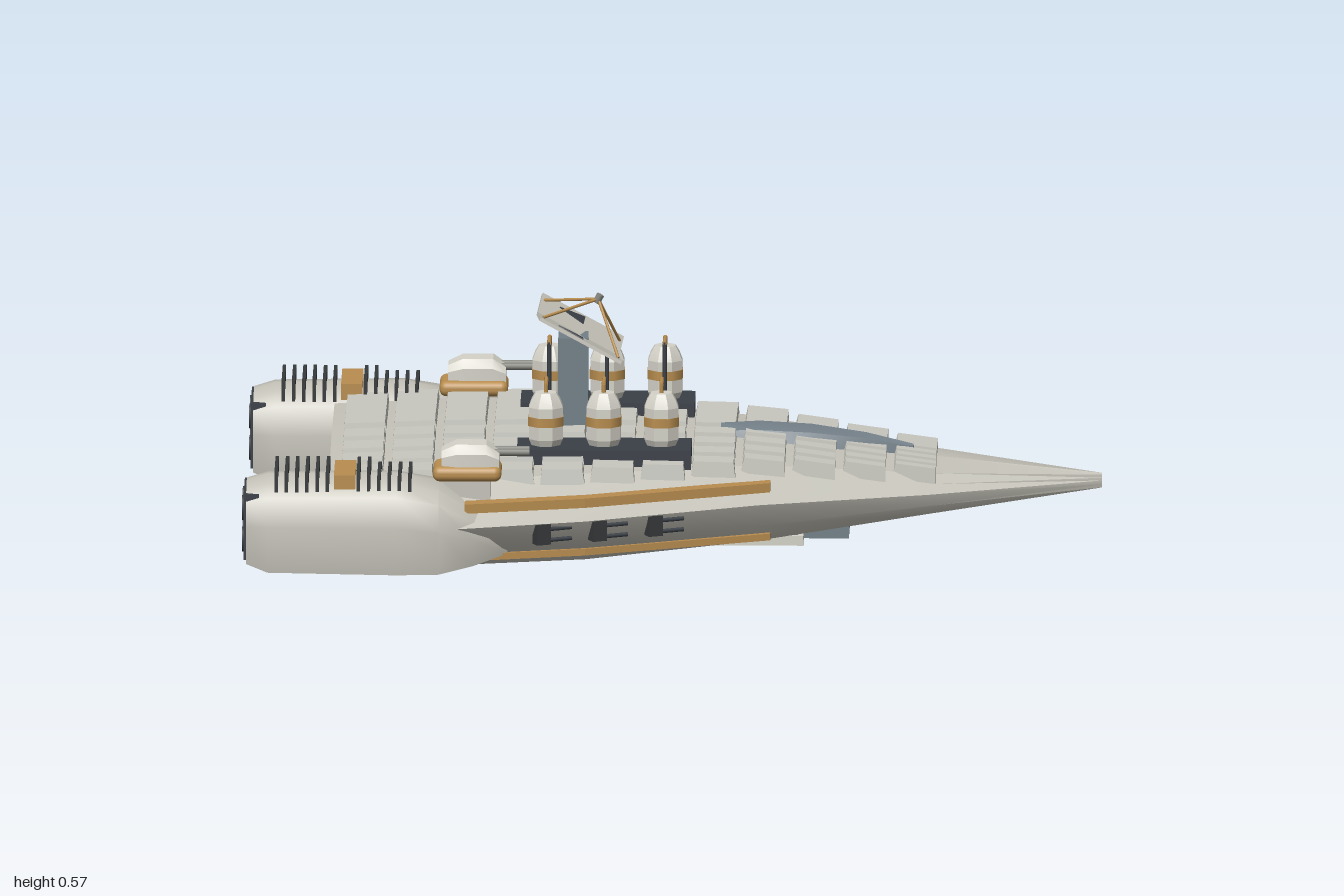
import * as THREE from 'three';
import { toCreasedNormals } from 'three/addons/utils/BufferGeometryUtils.js';
import { RoundedBoxGeometry } from 'three/addons/geometries/RoundedBoxGeometry.js';

const mat = (name, color, extra = {}) => {
  const m = new THREE.MeshStandardMaterial({ color, ...extra });
  m.name = name;
  return m;
};

// Hull stations: x, half width, bottom y, top y
const STATIONS = [
  [-0.8, 0.6, 0.03, 0.235], [-0.54, 0.655, 0.02, 0.245], [-0.2, 0.56, 0.02, 0.25],
  [0.2, 0.375, 0.035, 0.24], [0.6, 0.2, 0.075, 0.185], [1, 0.008, 0.11, 0.145],
];

// Interpolated hull station at x
function station(x) {
  let i = 0;
  while (i < STATIONS.length - 2 && x > STATIONS[i + 1][0]) i++;
  const a = STATIONS[i], b = STATIONS[i + 1], t = (x - a[0]) / (b[0] - a[0]);
  const [, hw, lo, hi] = a.map((v, k) => v + (b[k] - v) * t);
  return { hw, lo, hi };
}

// Skin through rings of [z, y] points (top first, then towards +z), capped at both ends
function loft(rings, crease = 0.5) {
  const pos = [];
  const put = (...pts) => pts.forEach(p => pos.push(...p));
  const r3 = rings.map(({ x, pts }) => pts.map(([z, y]) => [x, y, z]));
  const n = r3[0].length;
  for (let i = 0; i < r3.length - 1; i++) {
    for (let j = 0; j < n; j++) {
      const k = (j + 1) % n;
      put(r3[i][j], r3[i][k], r3[i + 1][k], r3[i][j], r3[i + 1][k], r3[i + 1][j]);
    }
  }
  const first = r3[0], last = r3[r3.length - 1];
  for (let j = 1; j < n - 1; j++) {
    put(first[0], first[j + 1], first[j]);
    put(last[0], last[j], last[j + 1]);
  }
  const g = new THREE.BufferGeometry();
  g.setAttribute('position', new THREE.Float32BufferAttribute(pos, 3));
  return toCreasedNormals(g, crease);
}

// Symmetric ring from a half profile of [width fraction, height fraction]
function ring(x, zc, hw, lo, hi, half) {
  const right = half.map(([a, b]) => [zc + a * hw, lo + b * (hi - lo)]);
  const left = half.filter(p => p[0] > 0).reverse().map(([a, b]) => [zc - a * hw, lo + b * (hi - lo)]);
  return { x, pts: [...right, ...left] };
}

export function createModel() {
  const model = new THREE.Group();
  model.name = 'spaceship';
  const hullM = mat('hull grey', 0xc5c3b9);
  const plateM = mat('plate grey', 0xc8c8c0);
  const trimM = mat('trim grey', 0x85867f);
  const whiteM = mat('tank white', 0xd4d2c8);
  const blueM = mat('slate blue', 0x737f88);
  const darkM = mat('dark slate', 0x3a4047);
  const blackM = mat('gunmetal', 0x36393a);
  const brassM = mat('brass', 0xb98e50);
  const panelM = mat('dish grey', 0xc4c2b8, { side: THREE.DoubleSide });

  const add = (name, geo, m, x = 0, y = 0, z = 0, parent = model) => {
    const mesh = new THREE.Mesh(geo, m);
    mesh.name = name;
    mesh.position.set(x, y, z);
    parent.add(mesh);
    return mesh;
  };
  // Box from its limits
  const box = (name, m, x0, x1, y0, y1, z0, z1, parent = model) => add(name,
    new THREE.BoxGeometry(x1 - x0, y1 - y0, Math.abs(z1 - z0)), m,
    (x0 + x1) / 2, (y0 + y1) / 2, (z0 + z1) / 2, parent);
  // Round bar between two points
  const rod = (name, m, a, b, r, parent = model) => {
    const va = new THREE.Vector3(...a), d = new THREE.Vector3(...b).sub(va);
    const mesh = add(name, new THREE.CylinderGeometry(r, r, d.length(), 8), m, 0, 0, 0, parent);
    mesh.quaternion.setFromUnitVectors(new THREE.Vector3(0, 1, 0), d.clone().normalize());
    mesh.position.copy(va).addScaledVector(d, 0.5);
    return mesh;
  };

  // Wedge hull
  const hullHalf = [[0, 1], [0.76, 0.9], [0.87, 0.7], [1, 0.52], [0.93, 0.25], [0.84, 0.05], [0, 0]];
  add('hull', loft(STATIONS.map(([x, hw, lo, hi]) => ring(x, 0, hw, lo, hi, hullHalf))), hullM);

  // Bevelled deck plates: twelve columns of eight, narrowing with the hull
  const plateGeo = toCreasedNormals(
    new THREE.CylinderGeometry(0.64, Math.SQRT1_2, 1, 4).rotateY(Math.PI / 4), 0.3);
  for (let c = 0; c < 12; c++) {
    const x = -0.722 + c * 0.117, { hw, lo, hi } = station(x);
    const half = Math.min(0.48, hw * 0.85), gap = half * 0.04, pitch = (half - gap) / 4;
    const slope = Math.atan2(station(x + 0.05).hi - station(x - 0.05).hi, 0.1);
    for (const s of [1, -1]) {
      for (let r = 0; r < 4; r++) {
        const z = gap + (r + 0.5) * pitch;
        const plate = add('deckPlate', plateGeo, plateM, x, hi - 0.1 * (hi - lo) * z / (0.76 * hw), s * z);
        plate.scale.set(0.104, 0.036, pitch * 0.88);
        plate.rotation.z = slope;
      }
    }
  }

  // Long canopy on the foredeck
  const canopyHalf = [[0, 1], [0.7, 0.88], [1, 0.4], [1, 0], [0, 0]];
  add('canopy', loft([[0.11, 0.055, 0.262], [0.2, 0.078, 0.267], [0.32, 0.075, 0.26],
    [0.45, 0.045, 0.24], [0.56, 0.01, 0.213]]
    .map(([x, w, hi]) => ring(x, 0, w, 0.17, hi, canopyHalf))), blueM);

  // Keel box and belly frames
  box('keel', blueM, -0.72, 0.41, 0.005, 0.042, -0.09, 0.09);
  for (const s of [1, -1]) {
    for (const x of [-0.045, 0.13, 0.3]) box('bellyFrameBar', whiteM, x - 0.006, x + 0.006, 0.022, 0.045, s * 0.08, s * 0.26);
    box('bellyFrameRail', whiteM, -0.05, 0.305, 0.022, 0.045, s * 0.248, s * 0.26);
  }

  // Radar mast and folded dish, facing forwards and up
  box('mast', blueM, -0.27, -0.2, 0.23, 0.47, -0.045, 0.045);
  const dish = new THREE.Group();
  dish.name = 'dish';
  dish.position.set(-0.225, 0.468, 0);
  dish.rotation.z = -0.5;
  model.add(dish);
  for (const s of [1, -1]) {
    const wing = box('dishWing', panelM, -0.108, 0.108, -0.004, 0.004, 0, s * 0.147, dish);
    wing.rotation.x = -s * 0.13;
    wing.position.y = 0.01;
    const tri = new THREE.Shape([[-0.06, 0], [0.005, -0.025], [0.005, 0.025]].map(p => new THREE.Vector2(...p)));
    const mark = add('dishVent', new THREE.ExtrudeGeometry(tri, { depth: 0.006, bevelEnabled: false }),
      darkM, 0, 0.021, s * 0.105, dish);
    mark.rotation.x = Math.PI / 2 - s * 0.13;
    for (const x of [-0.1, 0.1]) rod('dishStrut', brassM, [x, 0.018, s * 0.1], [0, 0.1, 0], 0.0035, dish);
  }
  rod('dishFeed', trimM, [0, 0.09, 0], [0, 0.112, 0], 0.009, dish);

  const podHalf = [[0, 1], [0.58, 0.96], [0.85, 0.83], [1, 0.53], [0.86, 0.03], [0, 0]];
  const tankProfile = [[0, 0], [0.036, 0], [0.043, 0.015], [0.043, 0.09], [0.036, 0.108], [0.026, 0.124], [0, 0.124]]
    .map(p => new THREE.Vector2(...p));
  const tankGeo = toCreasedNormals(new THREE.LatheGeometry(tankProfile, 8, Math.PI / 8), 0.3);

  for (const s of [1, -1]) {
    // Engine pod
    add('enginePod', loft([[-0.99, 0.53, 0.118, 0.045, 0.23], [-0.94, 0.53, 0.127, 0.025, 0.246],
      [-0.64, 0.535, 0.125, 0.02, 0.25], [-0.54, 0.535, 0.133, 0.024, 0.232], [-0.46, 0.52, 0.11, 0.04, 0.17],
      [-0.38, 0.49, 0.08, 0.06, 0.15]]
      .map(([x, zc, ...d]) => ring(x, s * zc, ...d, podHalf)), 0.7), hullM);

    // Engine back plate and nozzles
    box('enginePlate', darkM, -0.996, -0.96, 0.06, 0.215, s * 0.43, s * 0.63);
    for (const z of [0.48, 0.58]) for (const y of [0.1, 0.175]) {
      rod('nozzle', blackM, [-1, y, s * z], [-0.96, y, s * z], 0.03);
    }

    // Radiator fins above and below the pod, with a brass core in the upper row
    for (let i = 0; i < 14; i++) {
      const x = -0.92 + i * 0.024;
      if (i < 6 || i > 7) {
        box('topFin', blackM, x - 0.004, x + 0.004, 0.2, i < 10 ? 0.268 : 0.256, s * 0.435, s * 0.625);
      }
      box('lowerFin', blackM, x - 0.005, x + 0.005, 0.014, 0.055, s * 0.29, s * 0.47);
    }
    box('radiatorCore', brassM, -0.785, -0.735, 0.2, 0.26, s * 0.44, s * 0.62);

    // Brass stripes along the upper and lower flanks
    for (const [y, h, k] of [[0.166, 0.022, 0.945], [0.05, 0.016, 0.925]]) {
      const xs = [-0.48, -0.34, -0.2, 0, 0.23];
      const edge = w => xs.map(x => new THREE.Vector2(x, -s * (station(x).hw * k - w)));
      const shape = new THREE.Shape([...edge(0), ...edge(0.045).reverse()]);
      const stripe = add('flankStripe', new THREE.ExtrudeGeometry(shape, { depth: h, bevelEnabled: false }), brassM, 0, y, 0);
      stripe.rotation.x = -Math.PI / 2;
    }

    // Twin gun turret on a brass ring
    box('turretPedestal', hullM, -0.53, -0.42, 0.16, 0.24, s * 0.455, s * 0.535);
    add('turretBase', new RoundedBoxGeometry(0.16, 0.036, 0.118, 3, 0.016), brassM, -0.475, 0.248, s * 0.494);
    const bodyHalf = [[0, 1], [0.7, 1], [1, 0.6], [1, 0], [0, 0]];
    add('turretBody', loft([[-0.535, 0.038, 0.3], [-0.5, 0.046, 0.316], [-0.43, 0.046, 0.316], [-0.4, 0.04, 0.295]]
      .map(([x, w, hi]) => ring(x, s * 0.498, w, 0.262, hi, bodyHalf))), whiteM);
    for (const z of [0.48, 0.516]) rod('turretBarrel', trimM, [-0.44, 0.295, s * z], [-0.33, 0.295, s * z], 0.008);

    // Tank platform with three banded tanks and their feed pipes
    box('tankPlatform', darkM, -0.362, 0.045, 0.22, 0.266, s * 0.2, s * 0.347);
    for (const x of [-0.295, -0.16, -0.025]) {
      add('tank', tankGeo, whiteM, x, 0.266, s * 0.275);
      const band = add('tankBand', new THREE.CylinderGeometry(0.0445, 0.0445, 0.022, 8), brassM, x, 0.323, s * 0.275);
      band.rotation.y = Math.PI / 8;
      rod('feedPost', darkM, [x, 0.26, s * 0.207], [x, 0.41, s * 0.207], 0.005);
      rod('feedPipe', brassM, [x, 0.408, s * 0.203], [x, 0.408, s * 0.28], 0.005);
      rod('feedDrop', brassM, [x, 0.41, s * 0.278], [x, 0.385, s * 0.278], 0.005);
    }

    // Broadside guns set into the flank
    for (const x of [-0.28, -0.15, -0.02]) {
      const gun = new THREE.Group();
      gun.name = 'sideGun';
      gun.position.set(x, 0.116, s * (station(x).hw - 0.012));
      gun.rotation.y = s * 0.45;
      model.add(gun);
      box('gunMount', blackM, -0.04, -0.005, -0.026, 0.022, -0.014, 0.014, gun);
      for (const y of [-0.016, 0.01]) rod('gunBarrel', darkM, [-0.02, y, s * 0.009], [0.05, y, s * 0.009], 0.005, gun);
    }
  }
  return model;
}
